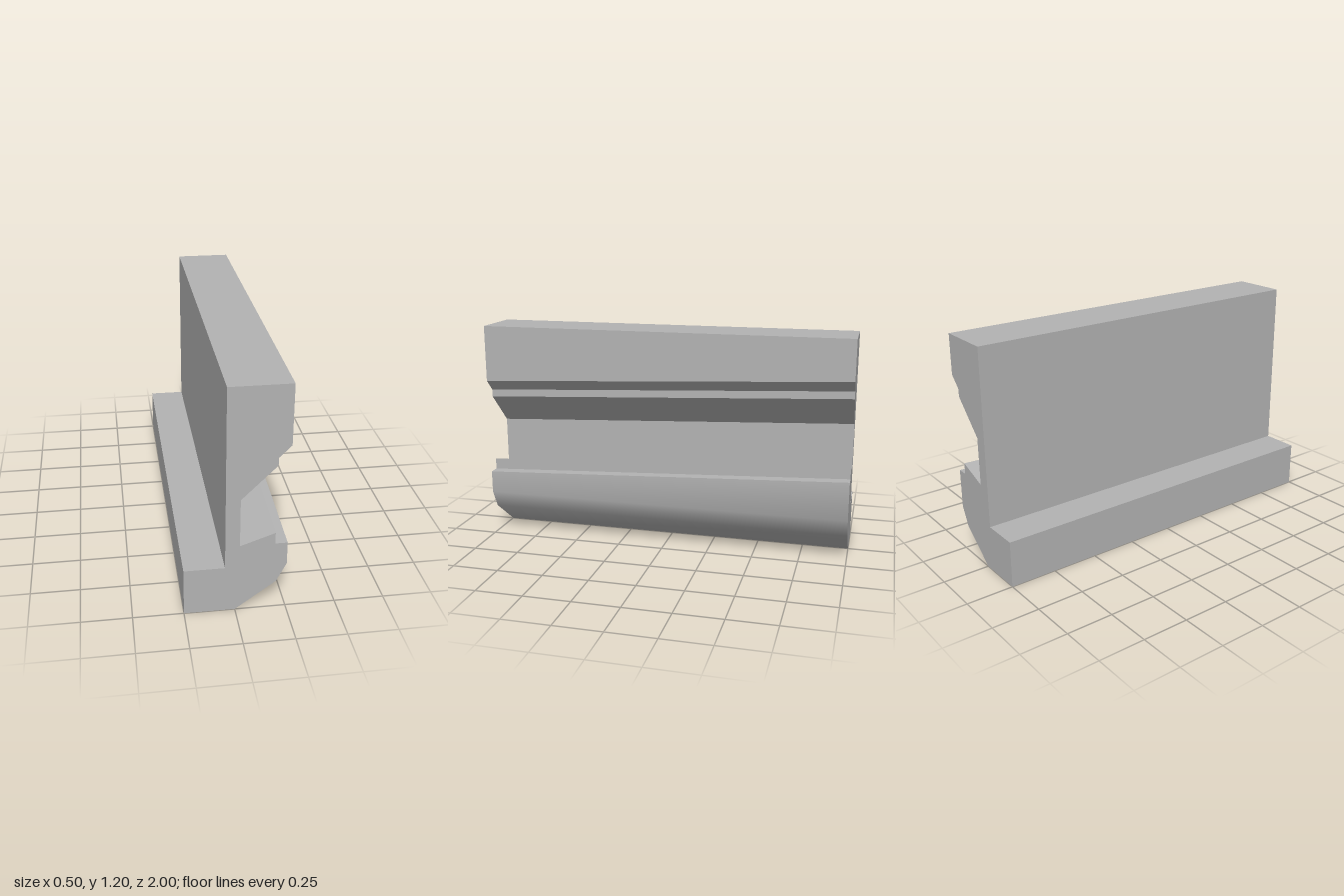
import * as THREE from 'three';
import { toCreasedNormals } from 'three/addons/utils/BufferGeometryUtils.js';

const LENGTH = 2;
const RISE = 0.09; // how far the groove climbs from front to back

// Rail cross-section at the front end, counter-clockwise
const PROFILE = [
  [-0.25, 0], [0, 0], [0.2, 0.15], [0.25, 0.25],      // base and rounded belly
  [0.25, 0.37], [0.19, 0.37], [0.19, 0.43],           // lower lip
  [0.02, 0.37], [0.02, 0.625],                        // groove
  [0.19, 0.795], [0.19, 0.835], [0.25, 0.895],        // upper lip
  [0.25, 1.2], [-0.05, 1.2],                          // top
  [-0.05, 0.25], [-0.25, 0.25],                       // back wall and foot
];

export function createModel() {
  const grey = new THREE.MeshStandardMaterial({ color: 0xb3b3b3 });
  grey.name = 'grey';

  const shape = new THREE.Shape(PROFILE.map(([x, y]) => new THREE.Vector2(x, y)));
  const geometry = new THREE.ExtrudeGeometry(shape, { depth: LENGTH, bevelEnabled: false });
  geometry.translate(0, 0, -LENGTH / 2);

  // Slope the groove and its lips upward toward the back
  const pos = geometry.attributes.position;
  for (let i = 0; i < pos.count; i++) {
    const y = pos.getY(i);
    if (y > 0.3 && y < 1) {
      pos.setY(i, y + RISE * (0.5 - pos.getZ(i) / LENGTH));
    }
  }

  // Smooth the belly, keep every other edge sharp
  const rail = new THREE.Mesh(toCreasedNormals(geometry, THREE.MathUtils.degToRad(30)), grey);
  rail.name = 'groovedRail';

  const model = new THREE.Group();
  model.name = 'slopedGrooveRail';
  model.add(rail);
  return model;
}
